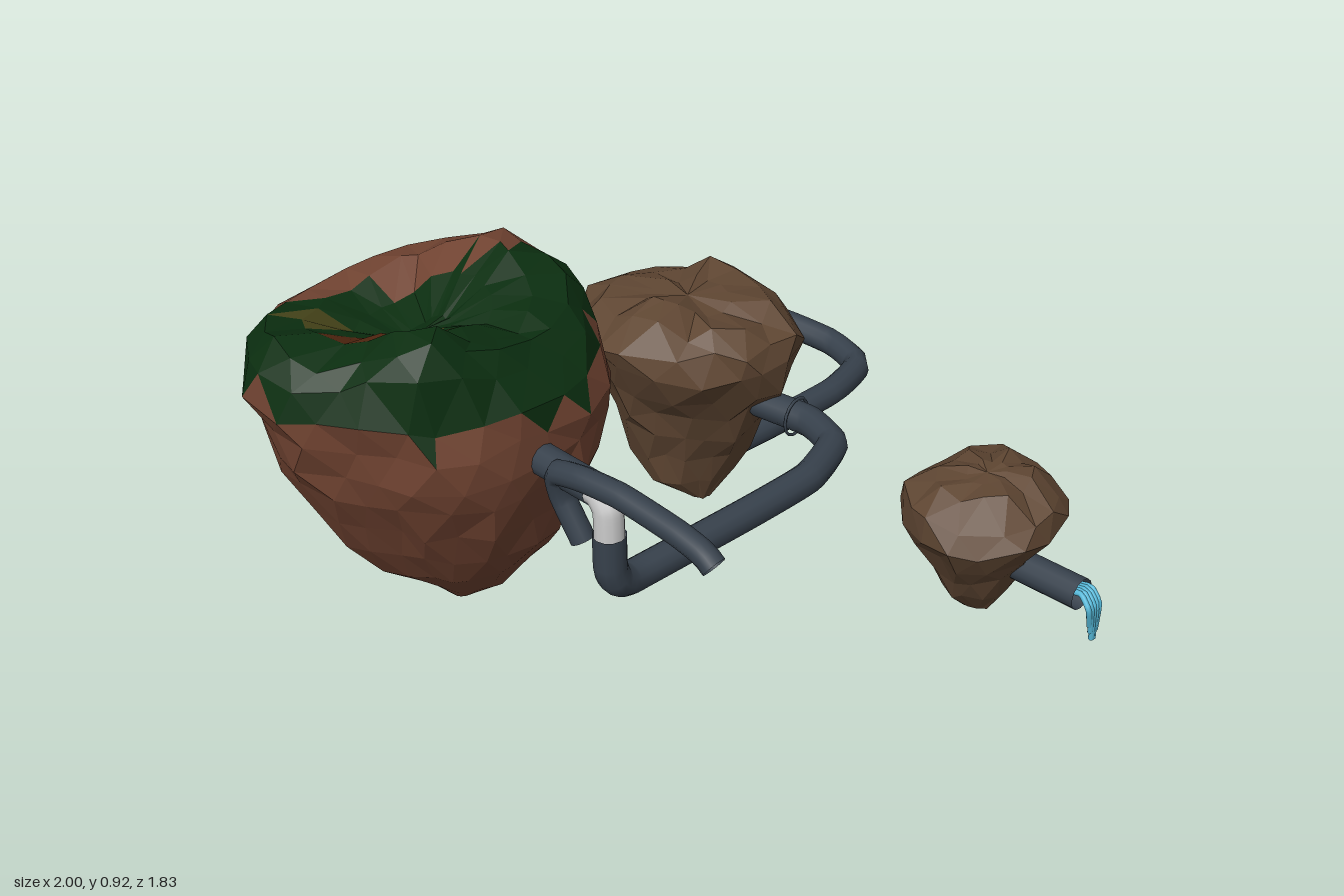
import * as THREE from 'three';

const mat = (color, extra = {}) => new THREE.MeshStandardMaterial({ color, ...extra });
const ROCK = { flatShading: true };
const MATS = {
  redRock: mat(0x704331, ROCK),
  brownRock: mat(0x604733, ROCK),
  grass: mat(0x0b2e10, ROCK),
  dryGrass: mat(0x47451a, ROCK),
  bareEarth: mat(0x552811, ROCK),
  pipe: mat(0x37414c, { side: THREE.DoubleSide }),
  joint: mat(0xdddddd, { side: THREE.DoubleSide }),
  water: mat(0x55b8d8, { side: THREE.DoubleSide }),
};

// Small seeded random generator
function seeded(seed) {
  let s = seed;
  return () => (s = (s * 16807) % 2147483647) / 2147483647;
}

// Faceted rock lofted through rings [y, xMin, xMax, zMin, zMax] from tip to crown.
// outline: plan radius factors every 30 degrees from the front towards +x.
// classify(centroid) names the material of each face; bump(x, y, z) lifts the crown.
function rock(name, { rings, outline, sides, rough, seed, classify, bump }) {
  const rnd = seeded(seed);
  for (let i = 0; i < 20; i++) rnd();
  const plan = (t) => {
    const u = (t + 1) % 1 * 12, i = Math.floor(u);
    return THREE.MathUtils.lerp(outline[i], outline[(i + 1) % 12], u - i);
  };
  const rows = rings.map(([y, x0, x1, z0, z1], r) => {
    const row = [];
    for (let i = 0; i < sides; i++) {
      const t = (i + (r % 2) / 2 + (rnd() - 0.5) * 0.5) / sides;
      const k = plan(t) * (1 + rough * (0.35 - rnd()));
      const x = (x0 + x1) / 2 + Math.sin(t * Math.PI * 2) * k * (x1 - x0) / 2;
      const z = (z0 + z1) / 2 + Math.cos(t * Math.PI * 2) * k * (z1 - z0) / 2;
      const lift = (rnd() - 0.5) * rough * 0.3 * Math.min(1, (x1 - x0) * 3);
      row.push(new THREE.Vector3(x, y + lift + bump(x, y, z), z));
    }
    return row;
  });
  const middle = (row) => row.reduce((s, p) => s.add(p), new THREE.Vector3()).divideScalar(sides);
  const buckets = {};
  const face = (a, b, c) => {
    const key = classify(new THREE.Vector3().add(a).add(b).add(c).divideScalar(3));
    (buckets[key] ??= []).push(a, b, c);
  };
  const bottom = middle(rows[0]), top = middle(rows.at(-1));
  for (let i = 0; i < sides; i++) {
    const j = (i + 1) % sides;
    face(bottom, rows[0][j], rows[0][i]);
    face(top, rows.at(-1)[i], rows.at(-1)[j]);
    for (let r = 0; r < rows.length - 1; r++) {
      const lo = rows[r], hi = rows[r + 1];
      if (r % 2) { face(lo[i], lo[j], hi[j]); face(lo[i], hi[j], hi[i]); }
      else { face(lo[i], lo[j], hi[i]); face(lo[j], hi[j], hi[i]); }
    }
  }
  const group = new THREE.Group();
  group.name = name;
  for (const [key, points] of Object.entries(buckets)) {
    const geo = new THREE.BufferGeometry().setFromPoints(points);
    geo.computeVertexNormals();
    const mesh = new THREE.Mesh(geo, MATS[key]);
    mesh.name = key;
    group.add(mesh);
  }
  return group;
}

// Open tube through a few points
function tube(name, points, radius, material = MATS.pipe, steps = 28) {
  const curve = new THREE.CatmullRomCurve3(points.map((p) => new THREE.Vector3(...p)), false, 'catmullrom', 0.25);
  const mesh = new THREE.Mesh(new THREE.TubeGeometry(curve, steps, radius, 12), material);
  mesh.name = name;
  return mesh;
}

// Round hill (or hollow) of a given height and reach
const hill = (x, z, cx, cz, height, reach) => height * Math.exp(-((x - cx) ** 2 + (z - cz) ** 2) / reach ** 2);

// Lumps and hollow of the grassy crown
const islandLumps = (x, y, z) => (y < 0.8 ? 0
  : hill(x, z, -0.74, -0.22, 0.1, 0.14) + hill(x, z, -0.31, -0.46, 0.08, 0.17)
  + hill(x, z, -0.9, -0.5, 0.05, 0.1) + hill(x, z, -0.6, -0.5, -0.06, 0.13));

// Ground cover of the large island
function islandCover(c) {
  const back = THREE.MathUtils.smoothstep(-c.z, 0.5, 0.7) * 0.08;
  const edge = 0.745 + back + 0.025 * Math.sin(c.x * 17) + 0.02 * Math.sin(c.z * 23);
  const near = (x, z, r) => Math.hypot(c.x - x, c.z - z) < r;
  const ridge = c.z + 0.75 - 0.79 * (c.x + 0.6);
  if (c.x > -0.29 && c.z < -0.48 && c.y > 0.67 && c.y < 0.8) return 'grass';
  if (c.y < edge || (c.x > -0.66 && Math.abs(ridge) < 0.09)) return 'redRock';
  if (near(-0.76, -0.38, 0.07)) return 'bareEarth';
  if (near(-0.76, -0.56, 0.06) || near(-0.6, -0.33, 0.04)) return 'dryGrass';
  return 'grass';
}

export function createModel() {
  const model = new THREE.Group();
  model.name = 'floatingIslands';

  // Large grassy island
  model.add(rock('largeIsland', {
    sides: 24, rough: 0.08, seed: 7, classify: islandCover, bump: islandLumps,
    outline: [0.97, 1.03, 1.03, 0.99, 1.04, 1.03, 0.97, 0.99, 1.05, 1, 0.89, 0.99],
    rings: [
      [0.05, -0.56, -0.52, -0.41, -0.37],
      [0.12, -0.64, -0.39, -0.53, -0.27],
      [0.22, -0.75, -0.31, -0.62, -0.18],
      [0.32, -0.83, -0.26, -0.69, -0.12],
      [0.42, -0.89, -0.23, -0.73, -0.07],
      [0.52, -0.93, -0.18, -0.76, -0.03],
      [0.6, -0.96, -0.15, -0.78, -0.01],
      [0.68, -0.98, -0.15, -0.79, -0.01],
      [0.75, -1.0, -0.16, -0.79, -0.03],
      [0.81, -0.99, -0.17, -0.78, -0.07],
      [0.845, -0.93, -0.23, -0.73, -0.12],
      [0.85, -0.84, -0.31, -0.66, -0.18],
      [0.84, -0.75, -0.41, -0.57, -0.26],
      [0.83, -0.65, -0.52, -0.46, -0.34],
    ],
  }));

  // Medium rock, with a shallow saddle across its top
  model.add(rock('mediumRock', {
    sides: 16, rough: 0.13, seed: 23, classify: () => 'brownRock',
    bump: (x, y, z) => (y > 0.58 ? hill(x, z, 0.1, -0.32, 0.05, 0.1) + hill(x, z, 0.35, -0.36, 0.025, 0.1) : 0),
    outline: [1, 1.05, 1.03, 0.99, 1.03, 1.01, 1, 1.02, 1.04, 1, 0.96, 0.93],
    rings: [
      [0.02, 0.19, 0.25, -0.36, -0.29],
      [0.09, 0.11, 0.36, -0.48, -0.26],
      [0.17, 0.08, 0.4, -0.55, -0.22],
      [0.26, 0.06, 0.43, -0.59, -0.17],
      [0.34, 0.03, 0.46, -0.62, -0.13],
      [0.42, 0.0, 0.48, -0.65, -0.09],
      [0.5, -0.05, 0.48, -0.66, -0.05],
      [0.56, -0.05, 0.46, -0.64, -0.07],
      [0.595, 0.01, 0.4, -0.56, -0.13],
      [0.6, 0.1, 0.31, -0.45, -0.23],
    ],
  }));

  // Small rock
  model.add(rock('smallRock', {
    sides: 14, rough: 0.13, seed: 51, classify: () => 'brownRock', bump: () => 0,
    outline: [1, 1, 1, 1, 1.02, 1.02, 1, 1.02, 1.02, 1, 1, 1],
    rings: [
      [0.115, 0.23, 0.29, 0.55, 0.63],
      [0.18, 0.17, 0.35, 0.5, 0.67],
      [0.25, 0.13, 0.4, 0.47, 0.71],
      [0.32, 0.08, 0.44, 0.44, 0.75],
      [0.39, 0.04, 0.48, 0.41, 0.8],
      [0.44, 0.06, 0.46, 0.42, 0.78],
      [0.485, 0.13, 0.38, 0.49, 0.71],
      [0.495, 0.2, 0.31, 0.56, 0.65],
    ],
  }));

  // Pipe joining the large island to the medium rock, with a pale elbow
  model.add(
    tube('upperPipe', [[-0.55, 0.61, -0.15], [-0.55, 0.61, 0.14]], 0.04),
    tube('elbowJoint', [[-0.55, 0.61, 0.12], [-0.55, 0.605, 0.155], [-0.55, 0.575, 0.178], [-0.55, 0.5, 0.18]], 0.036, MATS.joint),
    tube('linkPipe', [
      [-0.55, 0.51, 0.18], [-0.55, 0.42, 0.18], [-0.535, 0.38, 0.18], [-0.5, 0.357, 0.175], [-0.44, 0.35, 0.17],
      [-0.1, 0.35, 0.178], [0.11, 0.35, 0.174], [0.26, 0.35, 0.115], [0.3, 0.35, 0], [0.28, 0.35, -0.16],
    ], 0.04, MATS.pipe, 60),
  );

  // Thin flange where the link pipe meets the rock
  const flange = new THREE.Mesh(new THREE.TorusGeometry(0.05, 0.004, 6, 14), MATS.pipe);
  flange.name = 'pipeFlange';
  flange.position.set(0.293, 0.35, -0.04);
  flange.rotation.y = 0.15;
  model.add(flange);

  // Arched spout over the elbow
  model.add(tube('archedSpout', [
    [-0.55, 0.45, 0.09], [-0.56, 0.55, 0.035], [-0.575, 0.62, 0.04], [-0.575, 0.643, 0.13],
    [-0.565, 0.645, 0.24], [-0.555, 0.625, 0.4], [-0.552, 0.607, 0.48], [-0.55, 0.585, 0.51],
  ], 0.03));

  // Long curved pipe leaving the medium rock
  model.add(tube('outletPipe', [
    [0.27, 0.105, -0.34], [0.5, 0.1, -0.335], [0.76, 0.1, -0.335], [0.92, 0.095, -0.385],
    [0.96, 0.1, -0.52], [0.93, 0.115, -0.69], [0.855, 0.138, -0.87], [0.845, 0.125, -0.89],
  ], 0.038));

  // Short pipe on the small rock with falling water
  model.add(tube('shortPipe', [[0.275, 0.27, 0.62], [0.285, 0.27, 0.88]], 0.04));
  for (let i = -2; i <= 2; i++) {
    const x = 0.292 + i * 0.01, end = 0.14 + Math.abs(i - 0.5) * 0.022;
    model.add(tube('waterStrand', [
      [x, 0.272, 0.85], [x + 0.003, 0.278, 0.885], [x - 0.003, 0.25, 0.914], [0.297 + i * 0.006, end, 0.91],
    ], 0.007, MATS.water, 12));
  }
  return model;
}
